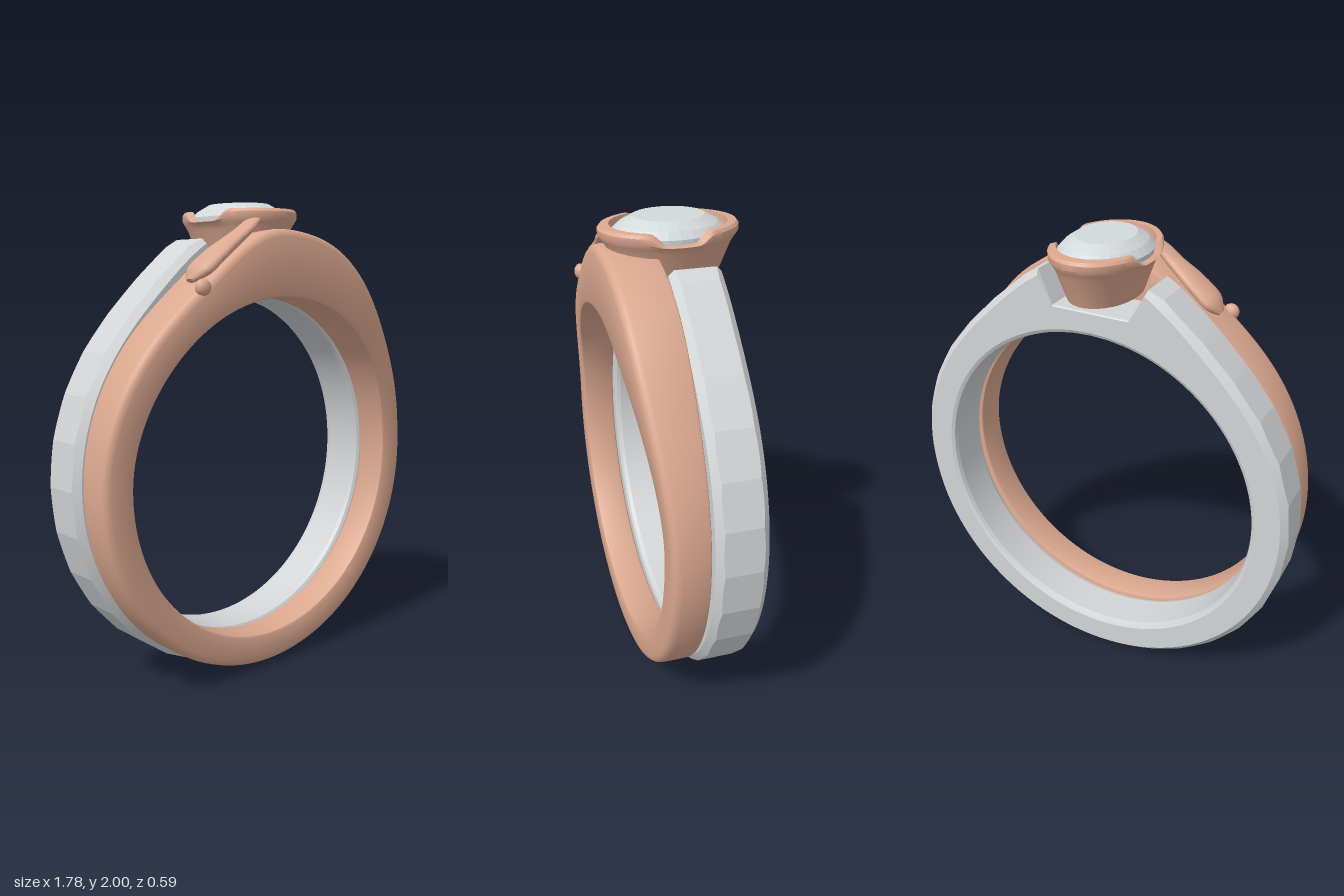
import * as THREE from 'three';
import { toCreasedNormals } from 'three/addons/utils/BufferGeometryUtils.js';

const CY = 0.885; // height of the finger hole centre
const INNER = 0.73;
const rad = THREE.MathUtils.degToRad;
const V = (x, y, z) => new THREE.Vector3(x, y, z);

// Joins equal-length closed cross-sections; the winding is set from the enclosed volume.
function loft(sections, closed, crease) {
  const n = sections.length, m = sections[0].length;
  const index = [];
  let volume = 0;
  const tri = (a, b, c) => {
    index.push(a, b, c);
    const [p, q, r] = [a, b, c].map((i) => sections[Math.floor(i / m)][i % m]);
    volume += p.dot(q.clone().cross(r));
  };
  for (let i = 0; i < (closed ? n : n - 1); i++) {
    for (let j = 0; j < m; j++) {
      const k = (j + 1) % m, i2 = (i + 1) % n;
      tri(i * m + j, i2 * m + j, i2 * m + k);
      tri(i * m + j, i2 * m + k, i * m + k);
    }
  }
  if (volume < 0) index.reverse();
  const geo = new THREE.BufferGeometry().setFromPoints(sections.flat());
  geo.setIndex(index);
  return toCreasedNormals(geo, rad(crease));
}

// Angle is measured in degrees from the top of the ring towards +x.
const polar = (deg, r, z) => V(Math.sin(rad(deg)) * r, CY + Math.cos(rad(deg)) * r, z);
const signed = (deg) => ((deg + 540) % 360) - 180;

function roseBandGeometry() {
  const sections = [];
  for (let i = 0; i < 180; i++) {
    const t = signed(i * 2);
    const bump = t > 0 ? Math.exp(-((t / 40) ** 3)) : Math.exp(-((t / 21) ** 2));
    const r = 0.865 + 0.14 * bump;
    const y = CY + Math.cos(rad(t)) * r;
    const f = 0.22 + 0.068 * THREE.MathUtils.smoothstep(y, 0.9, 1.85); // front face swells at the top
    const b = 0.07;
    sections.push([
      [INNER + 0.015, b], [r - 0.012, b], [r - 0.003, b + 0.004], [r, b + 0.012],
      [r, f - 0.035], [r - 0.004, f - 0.018], [r - 0.014, f - 0.006], [r - 0.032, f],
      [INNER + 0.015, f], [INNER + 0.004, f - 0.005], [INNER, f - 0.015],
      [INNER, b + 0.015], [INNER + 0.004, b + 0.005],
    ].map(([q, z]) => polar(t, q, z)));
  }
  return loft(sections, true, 40);
}

function facetedBandGeometry() {
  const smooth = (t) => 0.888 + 0.16 * Math.exp(-((signed(t) / 25) ** 2));
  const facet = (t) => { // straight chord between corners 12 degrees apart
    const a = Math.floor((t - 6) / 12) * 12 + 6, r0 = smooth(a), r1 = smooth(a + 12);
    return r0 * r1 * Math.sin(rad(12))
      / (r0 * Math.sin(rad(t - a)) + r1 * Math.sin(rad(a + 12 - t)));
  };
  const stations = [];
  for (let t = 14; t <= 346; t += 2) stations.push([t, facet(t), smooth(t) - 0.03]);
  for (const t of [-11.5, -6, 0, 6, 11.5]) { // notch under the setting
    const r = (1.72 - CY) / Math.cos(rad(t));
    stations.push([t, r, r - 0.005]);
  }
  const b = -0.153, f = 0.058;
  return loft(stations.map(([t, r, edge]) => {
    const c = Math.max(r - edge, 0.004);
    return [
      [INNER + 0.02, b], [edge, b], [r, b + c], [r, f - c], [edge, f],
      [INNER + 0.02, f], [INNER + 0.006, f - 0.008], [INNER, f - 0.025],
      [INNER, b + 0.025], [INNER + 0.006, b + 0.008],
    ].map(([q, z]) => polar(t, q, z));
  }), true, 9);
}

function bezelGeometry() {
  const sections = [];
  for (let i = 0; i < 96; i++) {
    const a = (i / 96) * Math.PI * 2, c = Math.cos(a), s = Math.sin(a);
    // the rim dips at both sides of the stone
    const dip = 0.045 * (1 - THREE.MathUtils.smoothstep(Math.abs(s) * 0.28, 0.06, 0.14));
    sections.push([
      [0.14, 0.205, 1.765], [0.182, 0.255, 1.89], [0.196, 0.27, 1.915], [0.206, 0.284, 1.935 - dip * 0.3],
      [0.206, 0.284, 1.958 - dip * 0.8], [0.198, 0.274, 1.97 - dip], [0.18, 0.238, 1.972 - dip],
      [0.175, 0.23, 1.9], [0.115, 0.175, 1.765],
    ].map(([x, z, y]) => V(x * c, y, z * s - 0.01)));
  }
  return loft(sections, true, 35);
}

function gemGeometry() {
  const profile = [[0, 1.78], [0.182, 1.925], [0.182, 1.945], [0.158, 1.972], [0.115, 2], [0, 2]]
    .map(([r, y]) => new THREE.Vector2(r, y));
  const geo = new THREE.LatheGeometry(profile, 28);
  geo.scale(1, 1, 1.26).translate(0, 0, -0.01);
  return toCreasedNormals(geo, rad(4));
}

// Leaf-like arm, from the setting down along the shoulder.
function armGeometry() {
  const path = new THREE.CatmullRomCurve3([
    V(-0.1, 1.925, 0.19), V(-0.15, 1.89, 0.205), V(-0.21, 1.845, 0.198),
    V(-0.29, 1.79, 0.19), V(-0.36, 1.735, 0.185), V(-0.42, 1.68, 0.178),
  ]);
  const size = new THREE.CatmullRomCurve3([ // half width, half thickness
    V(0.045, 0.018, 0), V(0.045, 0.022, 0), V(0.05, 0.026, 0),
    V(0.068, 0.03, 0), V(0.072, 0.033, 0), V(0.055, 0.028, 0),
  ]);
  const sections = [];
  const N = 28;
  for (let i = -1; i <= N + 1; i++) {
    const u = THREE.MathUtils.clamp(i / N, 0, 1);
    const k = i < 0 || i > N ? 0.001 : Math.min(1, Math.sqrt((N - i + 0.6) / 4));
    const p = path.getPoint(u), d = path.getTangent(u), s = size.getPoint(u);
    const side = V(0, 0, 1), up = side.clone().cross(d).normalize();
    const ring = [];
    for (let j = 0; j < 20; j++) {
      const a = (j / 20) * Math.PI * 2;
      ring.push(p.clone()
        .addScaledVector(side, Math.cos(a) * s.x * k)
        .addScaledVector(up, Math.sin(a) * s.y * k));
    }
    sections.push(ring);
  }
  return loft(sections, false, 50);
}

export function createModel() {
  const rose = new THREE.MeshStandardMaterial({ color: 0xdba890 });
  rose.name = 'roseGold';
  const silver = new THREE.MeshStandardMaterial({ color: 0xd2d4d6 });
  silver.name = 'silver';
  const stone = new THREE.MeshStandardMaterial({ color: 0xd3d8db });
  stone.name = 'clearStone';

  const model = new THREE.Group();
  model.name = 'ringPair';
  const add = (name, geometry, material) => {
    const mesh = new THREE.Mesh(geometry, material);
    mesh.name = name;
    model.add(mesh);
    return mesh;
  };
  add('roseBand', roseBandGeometry(), rose);
  add('facetedBand', facetedBandGeometry(), silver);
  add('bezel', bezelGeometry(), rose);
  add('gem', gemGeometry(), stone);
  add('shoulderArm', armGeometry(), rose);

  // small pointed bead on the front face
  const bead = add('bead', new THREE.SphereGeometry(0.034, 20, 14), rose);
  bead.scale.set(1, 1, 0.8);
  bead.position.set(-0.43, 1.655, 0.268);
  return model;
}
